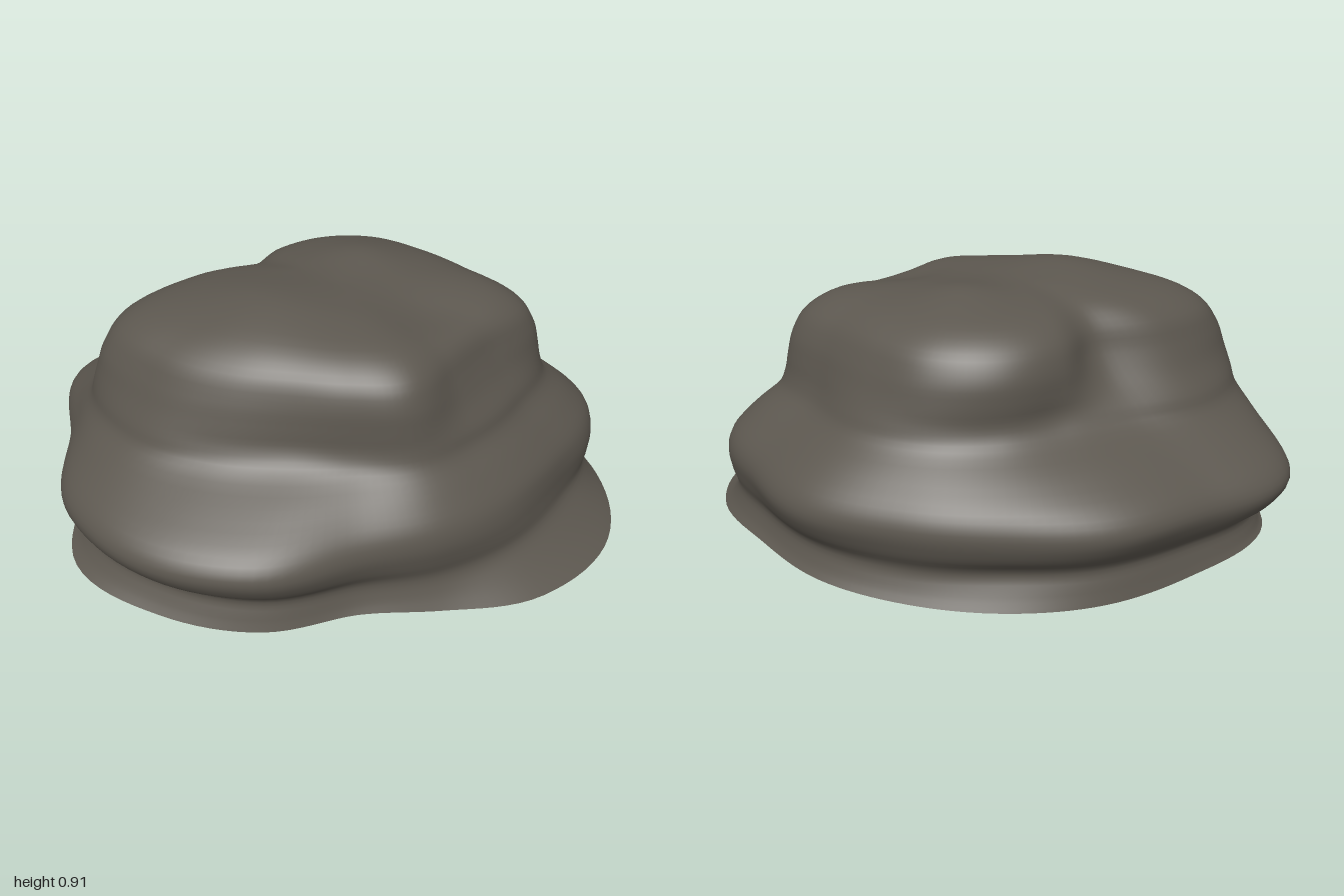
import * as THREE from 'three';

const SIDES = 128, ROWS = 56;

// Outline radii every 22.5 degrees, from +x round towards +z, at five levels
const BASE = [0.99, 1.02, 0.91, 0.76, 0.71, 0.81, 0.91, 1.01, 0.94, 0.98, 0.87, 0.82, 0.79, 0.80, 0.84, 0.88];
const NECK = [0.93, 0.84, 0.77, 0.71, 0.68, 0.78, 0.86, 0.94, 0.90, 0.95, 0.84, 0.79, 0.74, 0.76, 0.80, 0.84];
const BULGE = [0.95, 0.82, 0.76, 0.73, 0.73, 0.87, 0.96, 1.01, 0.96, 1.06, 0.93, 0.87, 0.81, 0.82, 0.87, 0.89];
const MID = [0.73, 0.63, 0.58, 0.57, 0.52, 0.53, 0.62, 0.76, 0.84, 0.76, 0.58, 0.54, 0.58, 0.62, 0.64, 0.65];
const HIGH = [0.70, 0.55, 0.51, 0.55, 0.51, 0.51, 0.58, 0.69, 0.81, 0.65, 0.47, 0.53, 0.58, 0.60, 0.59, 0.62];

// Height of the foot edge in the same directions
const FOOT = [0.03, 0.01, 0, 0.02, 0.035, 0.025, 0.03, 0.04, 0.05, 0.05, 0.03, 0.02, 0.02, 0.03, 0.04, 0.045];

// Smooth closed interpolation of a table of directions
function around(table, angle) {
  const n = table.length, t = (angle / (2 * Math.PI)) * n, i = Math.floor(t), f = t - i;
  const [a, b, c, d] = [-1, 0, 1, 2].map((k) => table[(i + k + n) % n]);
  return b + 0.5 * f * (c - a + f * (2 * a - 5 * b + 4 * c - d + f * (3 * (b - c) + d - a)));
}

// Upright profile of the rock in one direction: flared foot, neck, bulge, slope or ledge, crown
function profile(angle) {
  const [base, neck, bulge, mid, high, foot] = [BASE, NECK, BULGE, MID, HIGH, FOOT].map((t) => around(t, angle));
  const mix = THREE.MathUtils.lerp;
  const points = [
    [base, foot], [mix(base, neck, 0.6), 0.075], [neck, 0.135], [mix(neck, bulge, 0.65), 0.2],
    [bulge, 0.275], [mix(bulge, mid, 0.12), 0.345], [mix(bulge, mid, 0.47), 0.42], [mix(bulge, mid, 0.86), 0.49],
    [mid, 0.55], [mix(mid, high, 0.6), 0.62], [high * 0.985, 0.7], [high * 0.91, 0.78],
    [high * 0.74, 0.84], [high * 0.45, 0.87], [high * 0.2, 0.875], [0, 0.875],
  ];
  return new THREE.SplineCurve(points.map(([r, y]) => new THREE.Vector2(r, y)));
}

// Gentle weathering: lumps on the walls, knobs on the crown
function weather(v) {
  const wall = THREE.MathUtils.smoothstep(v.y, 0.08, 0.25) * (1 - THREE.MathUtils.smoothstep(v.y, 0.75, 0.85));
  const lump = 1 + 0.01 * wall * Math.sin(7 * v.x + 9 * v.y) * Math.cos(8 * v.z - 5 * v.y);
  const knob = (x, z, h, w) => h * Math.exp(-((v.x - x) ** 2 + (v.z - z) ** 2) / (w * w));
  const crown = THREE.MathUtils.smoothstep(v.y, 0.78, 0.86);
  v.x *= lump;
  v.z *= lump;
  v.y += crown * (knob(-0.24, 0.1, 0.032, 0.2) + knob(0.12, -0.22, 0.024, 0.14) - knob(0.3, 0.15, 0.03, 0.18));
}

function rockGeometry() {
  const positions = [], index = [];
  const v = new THREE.Vector3();
  for (let s = 0; s < SIDES; s++) {
    const angle = (s / SIDES) * 2 * Math.PI, curve = profile(angle);
    for (let r = 0; r < ROWS; r++) {
      const p = curve.getPoint(r / ROWS);
      v.set(p.x * Math.cos(angle), p.y, p.x * Math.sin(angle));
      weather(v);
      positions.push(v.x, v.y, v.z);
    }
  }
  v.set(0, 0.875, 0);
  weather(v);
  const top = positions.push(v.x, v.y, v.z) / 3 - 1;
  for (let s = 0; s < SIDES; s++) {
    const a = s * ROWS, b = ((s + 1) % SIDES) * ROWS;
    for (let r = 0; r < ROWS - 1; r++) {
      index.push(a + r, a + r + 1, b + r, b + r, a + r + 1, b + r + 1);
    }
    index.push(a + ROWS - 1, top, b + ROWS - 1);
  }
  return finish(positions, index);
}

// Nearly flat underside sharing the foot outline
function undersideGeometry() {
  const positions = [0, 0.018, 0], index = [];
  for (let s = 0; s < SIDES; s++) {
    const angle = (s / SIDES) * 2 * Math.PI, p = profile(angle).getPoint(0);
    positions.push(p.x * Math.cos(angle), p.y, p.x * Math.sin(angle));
    index.push(0, 1 + s, 1 + ((s + 1) % SIDES));
  }
  return finish(positions, index);
}

function finish(positions, index) {
  const geometry = new THREE.BufferGeometry();
  geometry.setAttribute('position', new THREE.Float32BufferAttribute(positions, 3));
  geometry.setIndex(index);
  geometry.computeVertexNormals();
  return geometry;
}

export function createModel() {
  const group = new THREE.Group();
  group.name = 'boulder';
  const stone = new THREE.MeshStandardMaterial({ color: 0x5c574f });
  stone.name = 'dark stone';
  const rock = new THREE.Mesh(rockGeometry(), stone);
  rock.name = 'rock';
  const underside = new THREE.Mesh(undersideGeometry(), stone);
  underside.name = 'underside';
  group.add(rock, underside);
  return group;
}
